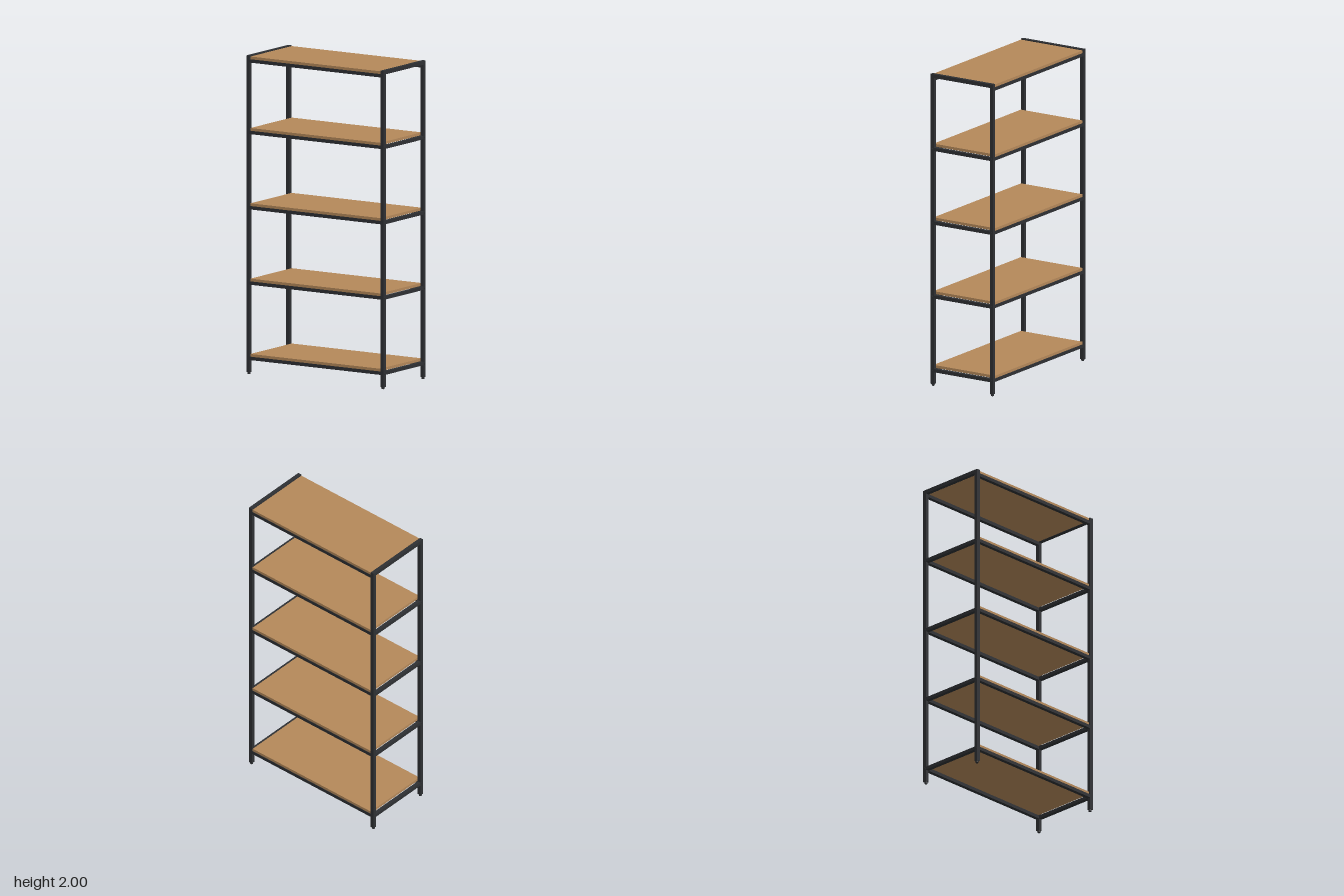
import * as THREE from 'three';

export function createModel() {
  const group = new THREE.Group();
  const metal = new THREE.MeshStandardMaterial({ color: 0x2e3033 });
  metal.name = 'dark metal';
  const wood = new THREE.MeshStandardMaterial({ color: 0xb5895a });
  wood.name = 'oak wood';

  const T = 0.024;          // square tube thickness
  const X = 0.5, Z = 0.221; // post centres
  const FOOT = 0.012;

  const add = (name, geometry, material, x, y, z) => {
    const mesh = new THREE.Mesh(geometry, material);
    mesh.name = name;
    mesh.position.set(x, y, z);
    group.add(mesh);
    return mesh;
  };
  const box = (name, w, h, d, material, x, y, z) =>
    add(name, new THREE.BoxGeometry(w, h, d), material, x, y, z);

  // Corner posts with small feet
  for (const sx of [-1, 1]) {
    for (const sz of [-1, 1]) {
      box('post', T, 2 - FOOT, T, metal, sx * X, 1 + FOOT / 2, sz * Z);
      add('foot', new THREE.CylinderGeometry(0.01, 0.009, FOOT, 16), metal, sx * X, FOOT / 2, sz * Z);
    }
  }

  // Five shelves: a board resting on a rail frame
  const board = 0.017, rail = 0.021;
  [0.127, 0.6, 1.073, 1.546, 1.995].forEach((top, i) => {
    const isTop = i === 4;
    const railY = top - board - rail / 2;
    box('shelfBoard', 0.968, board, 0.459, wood, 0, top - board / 2, 0);

    for (const s of [-1, 1]) {
      box('longRail', 2 * X - T, rail, T, metal, 0, railY, s * Z);
      // The top side rails sit flush with the post ends
      box('sideRail', T, isTop ? T : rail, 2 * Z - T, metal, s * X, isTop ? 2 - T / 2 : railY, 0);
    }

    // Bolt heads on the outer faces of the posts
    if (isTop) return;
    for (const sx of [-1, 1]) {
      for (const sz of [-1, 1]) {
        const bolt = add('bolt', new THREE.CylinderGeometry(0.006, 0.006, 0.004, 12), metal,
          sx * (X + T / 2 + 0.001), railY, sz * Z);
        bolt.rotation.z = Math.PI / 2;
      }
    }
  });

  return group;
}
